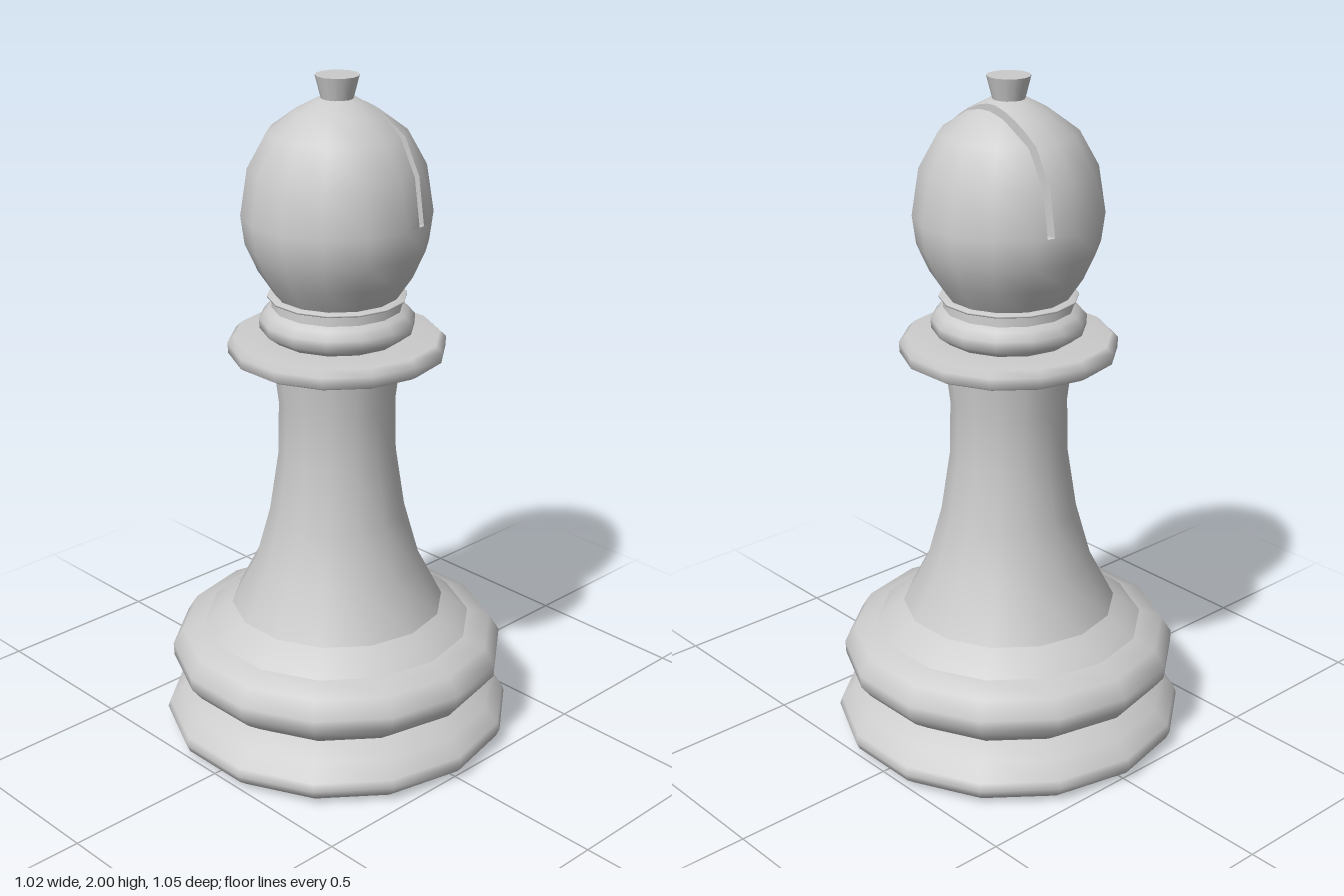
import * as THREE from 'three';

const SIDES = 14;
const material = new THREE.MeshStandardMaterial({ color: 0xcccccc });

const lathe = (points) =>
  new THREE.LatheGeometry(points.map(([r, y]) => new THREE.Vector2(r, y)), SIDES);

// Triangles as lists of corners [x, y, z, nx, ny, nz]
function toTriangles(geometry) {
  const g = geometry.toNonIndexed();
  const p = g.attributes.position, n = g.attributes.normal, triangles = [];
  for (let i = 0; i < p.count; i += 3) {
    triangles.push([i, i + 1, i + 2].map((k) =>
      [p.getX(k), p.getY(k), p.getZ(k), n.getX(k), n.getY(k), n.getZ(k)]));
  }
  return triangles;
}

function toGeometry(triangles) {
  const corners = triangles.flat();
  const g = new THREE.BufferGeometry();
  g.setAttribute('position', new THREE.Float32BufferAttribute(corners.flatMap((c) => c.slice(0, 3)), 3));
  g.setAttribute('normal', new THREE.Float32BufferAttribute(corners.flatMap((c) => c.slice(3)), 3));
  return g;
}

// Keep the side of an axis plane where sign * (value - limit) >= 0; collect the cut points
function clip(triangles, axis, limit, sign, cut = []) {
  const kept = [];
  for (const tri of triangles) {
    const poly = [];
    tri.forEach((a, i) => {
      const b = tri[(i + 1) % 3];
      const da = sign * (a[axis] - limit), db = sign * (b[axis] - limit);
      if (da >= -1e-6) poly.push(a);
      if ((da > 1e-6 && db < -1e-6) || (da < -1e-6 && db > 1e-6)) {
        const t = da / (da - db);
        const point = a.map((v, k) => v + (b[k] - v) * t);
        poly.push(point);
        cut.push(point);
      }
    });
    for (let i = 1; i + 1 < poly.length; i++) kept.push([poly[0], poly[i], poly[i + 1]]);
  }
  return kept;
}

// Flat wall filling a convex cut across x
function wall(cut, x, sign) {
  const cy = cut.reduce((s, c) => s + c[1], 0) / cut.length;
  const angle = (c) => Math.atan2(c[2], c[1] - cy);
  const ring = [...cut].sort((a, b) => sign * (angle(a) - angle(b)));
  const corner = (y, z) => [x, y, z, sign, 0, 0];
  return ring.map((a, i) => {
    const b = ring[(i + 1) % ring.length];
    return [corner(cy, 0), corner(a[1], a[2]), corner(b[1], b[2])];
  });
}

export function createModel() {
  const model = new THREE.Group();
  const add = (name, geometry, parent = model) => {
    const mesh = new THREE.Mesh(geometry, material);
    mesh.name = name;
    parent.add(mesh);
    return mesh;
  };

  // Turned parts, each profile listed as [radius, height] from the bottom up
  const turned = {
    underside: [[0, 0], [0.485, 0.004]],
    foot: [[0.485, 0.004], [0.512, 0.025], [0.523, 0.05], [0.515, 0.072], [0.475, 0.115], [0.41, 0.15]],
    baseRing: [[0.41, 0.15], [0.468, 0.192], [0.498, 0.23], [0.5, 0.268], [0.468, 0.32], [0.4, 0.345]],
    baseStep: [[0.4, 0.345], [0.365, 0.375], [0.318, 0.405]],
    stem: [[0.318, 0.405], [0.244, 0.55], [0.2, 0.71], [0.173, 0.89], [0.17, 1.05], [0.188, 1.2]],
    collarUnderside: [[0.18, 1.195], [0.296, 1.195]],
    collar: [[0.296, 1.195], [0.313, 1.205], [0.315, 1.236], [0.296, 1.254], [0.18, 1.254]],
    neckRing: [[0.19, 1.254], [0.2, 1.262], [0.222, 1.278], [0.224, 1.308], [0.205, 1.33], [0.188, 1.34]],
    neck: [[0.188, 1.34], [0.186, 1.37]],
    neckLip: [[0.186, 1.366], [0.2, 1.37], [0.2, 1.375], [0.178, 1.378]],
    finial: [[0.044, 1.93], [0.062, 2]],
    finialTop: [[0.062, 2], [0, 2]],
  };
  for (const [name, points] of Object.entries(turned)) add(name, lathe(points));

  // Head with a slot cut down through it, front to back
  const head = new THREE.Group();
  head.name = 'head';
  model.add(head);
  const floorY = 1.61, slotLeft = 0.065, slotRight = 0.087;
  const whole = toTriangles(lathe([
    [0.178, 1.378], [0.224, 1.447], [0.26, 1.527], [0.271, floorY], [0.25, 1.745],
    [0.195, 1.845], [0.12, 1.9], [0.055, 1.935], [0, 1.942],
  ]));
  add('headLower', toGeometry(clip(whole, 1, floorY, -1)), head);
  const dome = clip(whole, 1, floorY, 1);
  for (const [name, x, keep] of [['headMain', slotLeft, -1], ['headFlap', slotRight, 1]]) {
    const cut = [];
    add(name, toGeometry(clip(dome, 0, x, keep, cut)), head);
    add(name + 'SlotWall', toGeometry(wall(cut, x, -keep)), head);
  }
  const floor = add('slotFloor', new THREE.PlaneGeometry(slotRight - slotLeft, 0.508), head);
  floor.rotation.x = -Math.PI / 2;
  floor.position.set((slotLeft + slotRight) / 2, floorY, 0);

  return model;
}
